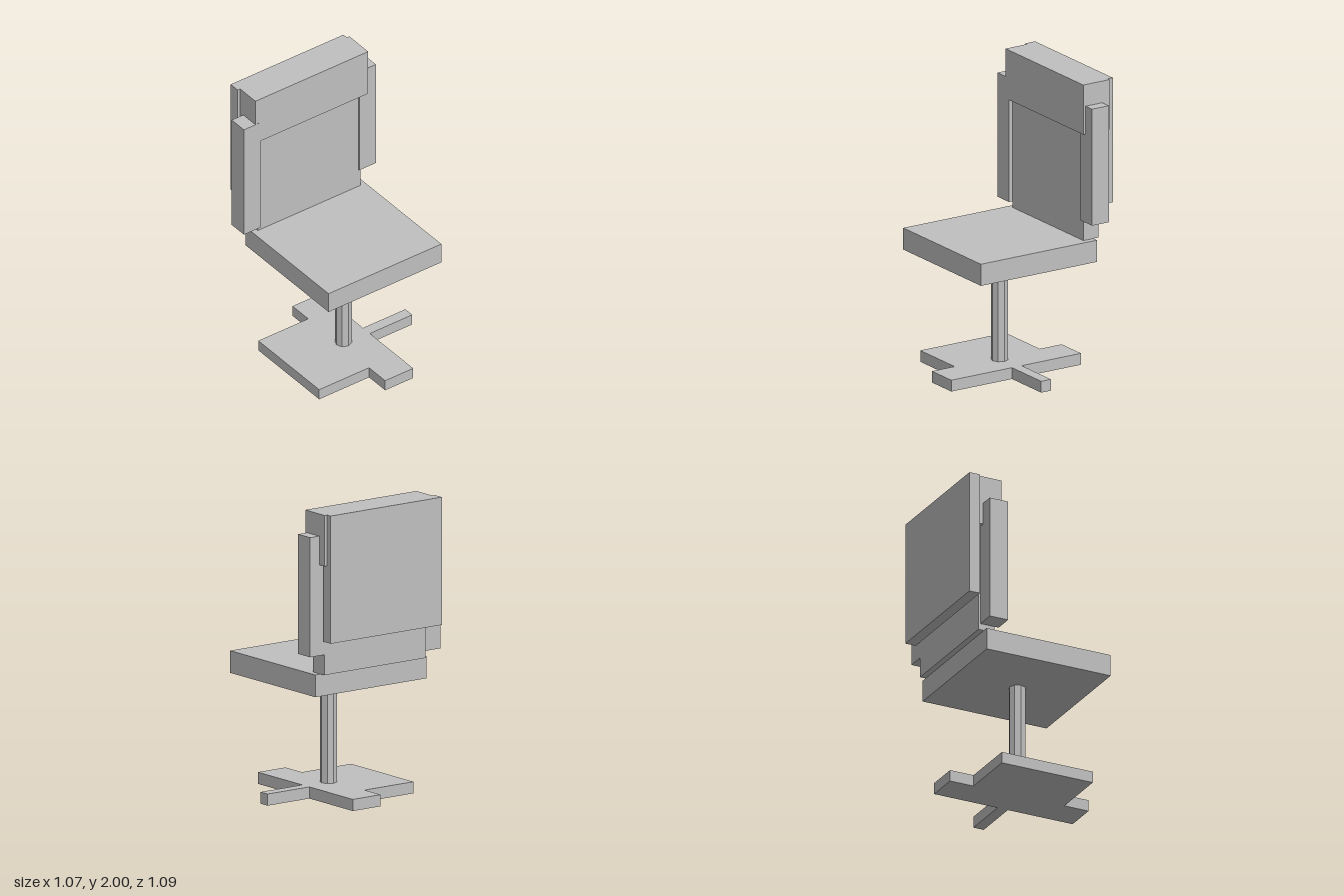
import * as THREE from 'three';

export function createModel() {
  const chair = new THREE.Group();
  chair.name = 'chair';
  const grey = new THREE.MeshStandardMaterial({ color: 0xc0c0c0 });
  grey.name = 'plain grey';

  const add = (name, geometry, x = 0, y = 0, z = 0) => {
    const mesh = new THREE.Mesh(geometry, grey);
    mesh.name = name;
    mesh.position.set(x, y, z);
    chair.add(mesh);
    return mesh;
  };
  // box given by its two extents on each axis
  const slab = (name, [x0, x1], [y0, y1], [z0, z1]) =>
    add(name, new THREE.BoxGeometry(x1 - x0, y1 - y0, z1 - z0),
      (x0 + x1) / 2, (y0 + y1) / 2, (z0 + z1) / 2);

  // uneven cross-shaped foot, outlined in (x, -z) and laid flat
  const outline = [
    [-0.43, 0.37], [-0.03, 0.37], [-0.03, 0.545], [0.195, 0.545],
    [0.195, 0.075], [0.535, 0.075], [0.535, 0], [0.195, 0],
    [0.195, -0.46], [-0.03, -0.46], [-0.03, -0.29], [-0.43, -0.29],
  ];
  const foot = new THREE.Shape(outline.map(([x, z]) => new THREE.Vector2(x, -z)));
  const footGeometry = new THREE.ExtrudeGeometry(foot, { depth: 0.077, bevelEnabled: false });
  footGeometry.rotateX(-Math.PI / 2);
  add('foot', footGeometry);

  // eight-sided column
  const columnGeometry = new THREE.CylinderGeometry(0.056, 0.056, 0.71, 8).toNonIndexed();
  columnGeometry.computeVertexNormals();
  add('column', columnGeometry, 0.005, 0.43, 0.045);

  slab('seat', [-0.445, 0.46], [0.78, 0.927], [-0.407, 0.492]);

  // backrest
  slab('backPad', [-0.405, 0.418], [0.927, 1.7], [-0.447, -0.33]);
  slab('headrest', [-0.445, 0.46], [1.663, 2], [-0.506, -0.301]);
  slab('rearPanel', [-0.465, 0.44], [1.155, 2], [-0.543, -0.467]);
  slab('rightSideBar', [-0.538, -0.405], [0.97, 1.812], [-0.433, -0.3]);
  slab('leftSideBar', [0.402, 0.535], [1.062, 1.853], [-0.449, -0.319]);

  return chair;
}
